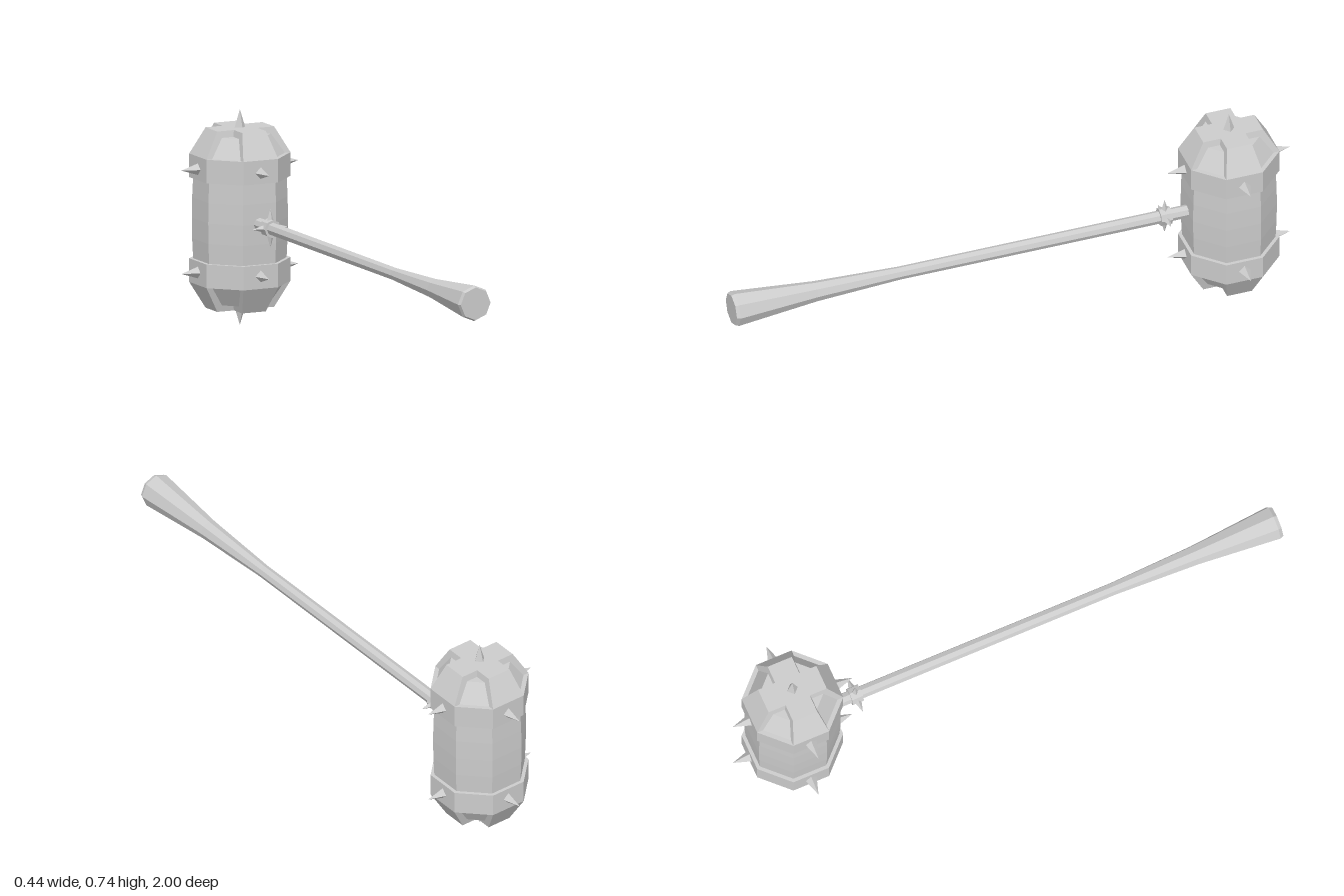
import * as THREE from 'three';
import { ConvexGeometry } from 'three/addons/geometries/ConvexGeometry.js';

const MID_Y = 0.37;   // height of the handle axis and head centre
const HEAD_Z = -0.78; // head axis

export function createModel() {
  const model = new THREE.Group();
  model.name = 'spikedHammer';
  const material = new THREE.MeshStandardMaterial({ color: 0xcccccc, flatShading: true });

  const add = (parent, geometry, name) => {
    const mesh = new THREE.Mesh(geometry, material);
    mesh.name = name;
    parent.add(mesh);
    return mesh;
  };

  // Eight-sided solid from [distance to flat face, height] pairs, flats facing the axes
  const octagon = (profile) => new THREE.LatheGeometry(
    profile.map(([a, y]) => new THREE.Vector2(a / Math.cos(Math.PI / 8), y)), 8, Math.PI / 8);

  // Four-sided spike whose base sits at the origin, pointing up
  const spike = (radius, length) =>
    new THREE.ConeGeometry(radius, length, 4).translate(0, length / 2, 0);

  // Head
  const head = new THREE.Group();
  head.name = 'head';
  head.position.set(0, MID_Y, HEAD_Z);
  model.add(head);

  add(head, octagon([
    [0, -0.287], [0.1, -0.287], [0.143, -0.22], [0.146, -0.137], [0.149, -0.07], [0.15, 0],
    [0.149, 0.07], [0.146, 0.137], [0.143, 0.22], [0.1, 0.287], [0, 0.287],
  ]), 'headCore');

  // One quarter of the raised cross on each end, meeting its neighbours at the centre
  const strapPoints = [];
  for (const [y, half, reach] of [[0.22, 0.0655, 0.158], [0.309, 0.0443, 0.107]]) {
    for (const s of [-1, 1]) {
      strapPoints.push(new THREE.Vector3(s * half, y, reach), new THREE.Vector3(s * half, y, half));
    }
    strapPoints.push(new THREE.Vector3(0, y, 0));
  }
  const strap = new ConvexGeometry(strapPoints);
  const band = octagon([[0.135, 0.139], [0.158, 0.139], [0.158, 0.22], [0.13, 0.22]]);

  for (const end of ['upper', 'lower']) {
    const cap = new THREE.Group();
    cap.name = end + 'Cap';
    if (end === 'lower') cap.rotation.x = Math.PI;
    head.add(cap);
    add(cap, band, 'band');
    add(cap, spike(0.021, 0.066), 'endSpike').position.y = 0.304;
    for (let i = 0; i < 4; i++) {
      const side = new THREE.Group();
      side.name = 'capSide';
      side.rotation.y = i * Math.PI / 2;
      cap.add(side);
      add(side, strap, 'strap');
      const point = add(side, spike(0.021, 0.065), 'bandSpike');
      point.position.set(0, 0.177, 0.155);
      point.rotation.x = Math.PI / 2;
    }
  }

  // Handle, flaring towards the grip end
  const handleProfile = [
    [0, -0.68], [0.0225, -0.68], [0.0225, 0.4], [0.035, 0.7], [0.061, 0.988], [0.056, 1], [0, 1],
  ];
  const handle = add(model, new THREE.LatheGeometry(
    handleProfile.map(([r, y]) => new THREE.Vector2(r, y)), 8), 'handle');
  handle.rotation.x = Math.PI / 2;
  handle.position.y = MID_Y;

  // Spiked collar near the head
  const collar = new THREE.Group();
  collar.name = 'collar';
  collar.position.set(0, MID_Y, -0.55);
  model.add(collar);
  add(collar, new THREE.CylinderGeometry(0.031, 0.031, 0.04, 8).rotateX(Math.PI / 2), 'collarRing');
  for (let i = 0; i < 4; i++) {
    const angle = i * Math.PI / 2;
    const point = add(collar, spike(0.012, 0.04), 'collarSpike');
    point.position.set(-Math.sin(angle) * 0.027, Math.cos(angle) * 0.027, 0);
    point.rotation.z = angle;
  }

  return model;
}
